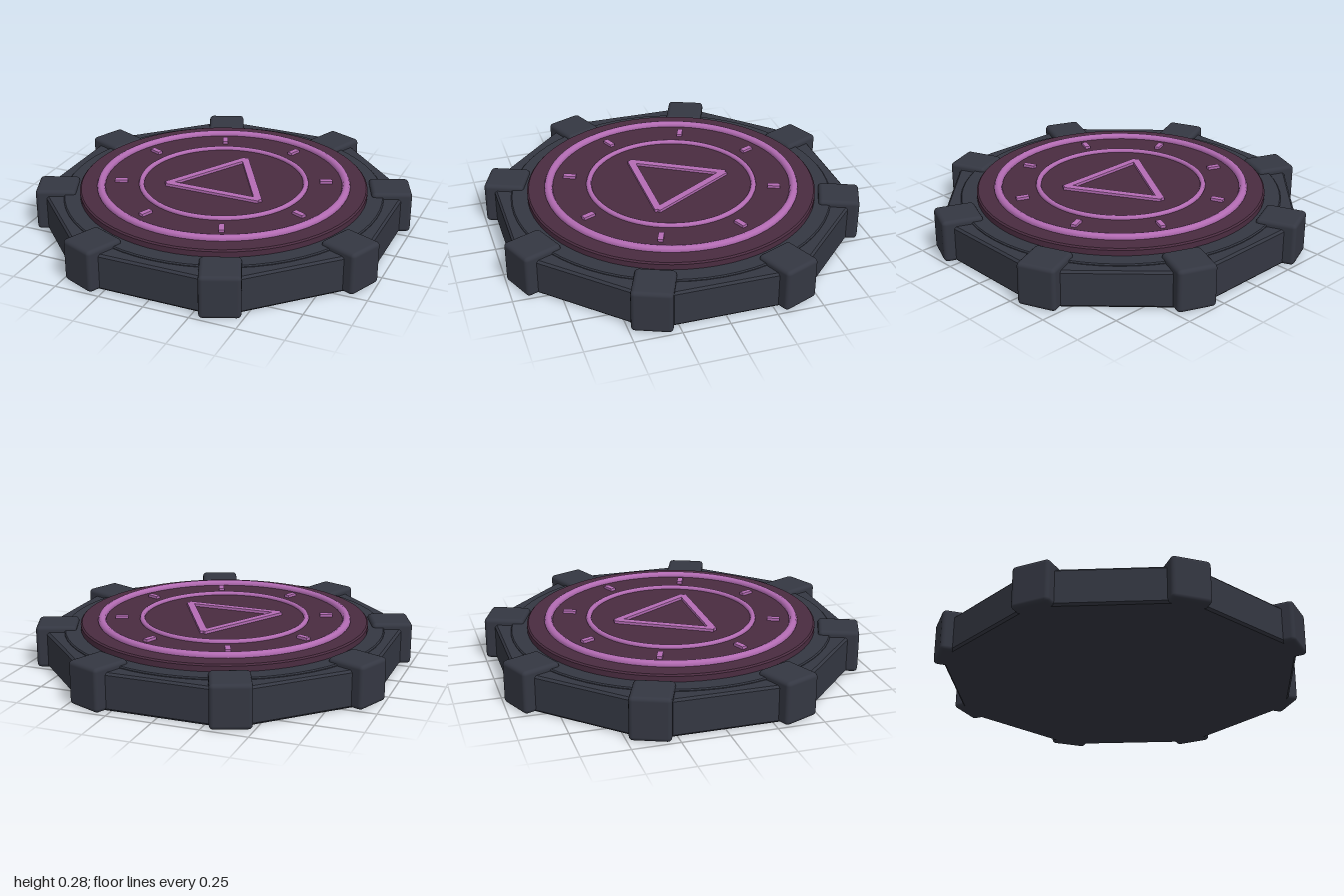
import * as THREE from 'three';
import { RoundedBoxGeometry } from 'three/addons/geometries/RoundedBoxGeometry.js';
import { toCreasedNormals } from 'three/addons/utils/BufferGeometryUtils.js';

const dark = new THREE.MeshStandardMaterial({ color: 0x343742 });
const plum = new THREE.MeshStandardMaterial({ color: 0x4a2c40 });
const violet = new THREE.MeshStandardMaterial({ color: 0xb46cb4 });

export function createModel() {
  const model = new THREE.Group();

  const add = (name, geometry, material, parent = model) => {
    const mesh = new THREE.Mesh(geometry, material);
    mesh.name = name;
    parent.add(mesh);
    return mesh;
  };

  // Solid of revolution with small chamfers on its rims
  const slab = (radius, bottom, top, chamfer, sides, phase = 0) => {
    const profile = [
      [0, bottom], [radius - chamfer, bottom], [radius, bottom + chamfer],
      [radius, top - chamfer], [radius - chamfer, top], [0, top],
    ].map(([x, y]) => new THREE.Vector2(x, y));
    return toCreasedNormals(new THREE.LatheGeometry(profile, sides, phase), Math.PI / 7);
  };

  // Octagonal base, raised collar and round plate
  add('octagonBase', slab(0.94 / Math.cos(Math.PI / 8), 0, 0.202, 0.012, 8, Math.PI / 8), dark);
  add('collar', slab(0.885, 0.1, 0.212, 0.006, 64), dark);
  add('plate', slab(0.795, 0.1, 0.25, 0.008, 64), plum);

  // Glowing rings
  const ring = (name, radius, tube) => {
    const geometry = new THREE.TorusGeometry(radius, tube, 8, 64).rotateX(Math.PI / 2);
    add(name, geometry, violet).position.y = 0.255;
  };
  ring('outerRing', 0.677, 0.023);
  ring('innerRing', 0.455, 0.015);

  // Corner blocks and dial ticks
  const blockGeometry = new RoundedBoxGeometry(0.212, 0.235, 0.222, 2, 0.022);
  const tickGeometry = new THREE.BoxGeometry(0.03, 0.03, 0.07);
  for (let i = 0; i < 8; i++) {
    const spoke = new THREE.Group();
    spoke.name = 'spoke';
    spoke.rotation.y = Math.PI / 8 + (i * Math.PI) / 4;
    add('cornerBlock', blockGeometry, dark, spoke).position.set(0, 0.1175, 0.925);
    add('tick', tickGeometry, violet, spoke).position.set(0, 0.25, 0.568);
    model.add(spoke);
  }

  // Central triangle pointing to the back
  const triangle = new THREE.Group();
  triangle.name = 'triangle';
  const barGeometry = new THREE.BoxGeometry(0.55, 0.03, 0.04).translate(0, 0.25, 0.155);
  for (let i = 0; i < 3; i++) {
    add('triangleBar', barGeometry, violet, triangle).rotation.y = (i * Math.PI * 2) / 3;
  }
  model.add(triangle);

  return model;
}
